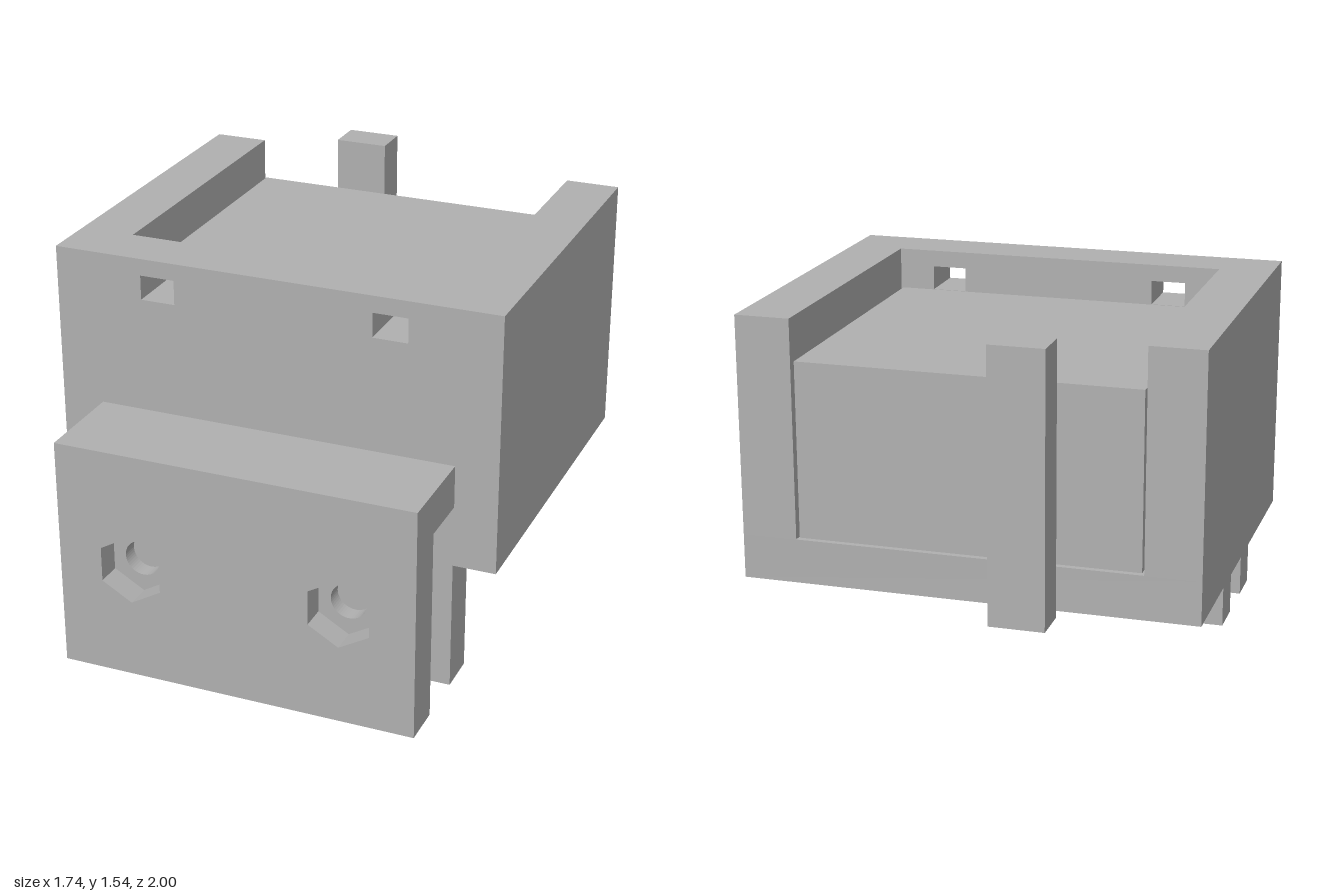
import * as THREE from 'three';

export function createModel() {
  const group = new THREE.Group();
  const grey = new THREE.MeshStandardMaterial({ color: 0xb0b0b0 });
  grey.name = 'grey';

  const add = (name, geometry) => {
    const mesh = new THREE.Mesh(geometry, grey);
    mesh.name = name;
    group.add(mesh);
  };

  // Box given by its limits on each axis
  const box = (name, x0, x1, y0, y1, z0, z1) => {
    const g = new THREE.BoxGeometry(x1 - x0, y1 - y0, z1 - z0);
    add(name, g.translate((x0 + x1) / 2, (y0 + y1) / 2, (z0 + z1) / 2));
  };

  const rectangle = (x0, x1, y0, y1) => [[x0, y0], [x1, y0], [x1, y1], [x0, y1]]
    .map(([x, y]) => new THREE.Vector2(x, y));

  // Regular polygon with one corner pointing up
  const polygon = (cx, cy, r, sides) => Array.from({ length: sides }, (_, i) => {
    const a = Math.PI / 2 + (i / sides) * Math.PI * 2;
    return new THREE.Vector2(cx + r * Math.cos(a), cy + r * Math.sin(a));
  });

  // Upright plate with holes cut through it along z
  const plate = (name, outline, holes, z0, z1) => {
    const shape = new THREE.Shape(outline);
    shape.holes = holes.map((points) => new THREE.Path(points));
    const g = new THREE.ExtrudeGeometry(shape, { depth: z1 - z0, bevelEnabled: false });
    add(name, g.translate(0, 0, z0));
  };

  // Housing, open at the top and back
  plate('housingFrontWall', rectangle(-0.87, 0.87, 0.51, 1.52), [
    rectangle(-0.525, -0.39, 1.36, 1.455),
    rectangle(0.385, 0.52, 1.36, 1.455),
  ], 0.41, 0.62);
  box('housingFloor', -0.87, 0.87, 0.51, 0.68, -0.79, 0.41);
  box('housingRightWall', -0.87, -0.66, 0.68, 1.52, -0.79, 0.41);
  box('housingLeftWall', 0.66, 0.87, 0.68, 1.52, -0.79, 0.41);

  // Block seated in the housing
  box('innerBlock', -0.65, 0.65, 0.685, 1.36, -0.78, 0.405);

  // Clamp: front plate with hexagonal nut pockets and bolt holes
  const front = rectangle(-0.705, 0.705, 0, 0.915);
  const centres = [-0.415, 0.412];
  plate('clampPlateOuter', front, centres.map((x) => polygon(x, 0.447, 0.137, 6)), 0.9, 1);
  plate('clampPlateInner', front, centres.map((x) => polygon(x, 0.447, 0.07, 48)), 0.835, 0.9);
  box('clampBridge', -0.705, 0.705, 0.75, 0.915, 0.62, 0.835);
  box('clampRearJaw', -0.705, 0.705, 0, 0.51, 0.46, 0.62);

  // Separate post behind the housing
  box('rearPost', -0.355, -0.145, 0.51, 1.54, -1, -0.855);

  return group;
}
